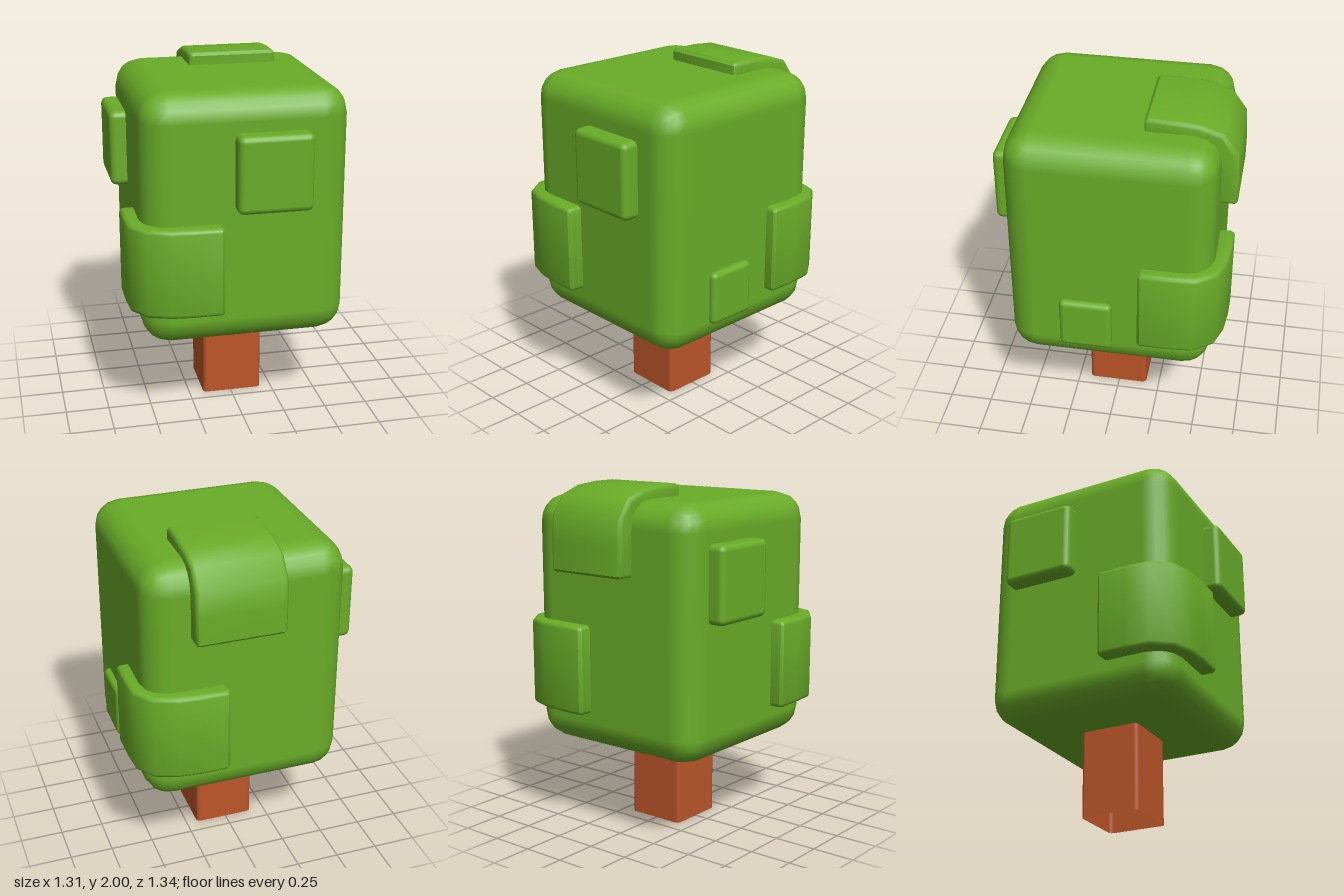
import * as THREE from 'three';
import { RoundedBoxGeometry } from 'three/addons/geometries/RoundedBoxGeometry.js';
import { toCreasedNormals } from 'three/addons/utils/BufferGeometryUtils.js';

const leaf = new THREE.MeshStandardMaterial({ color: 0x6aac28 });
const bark = new THREE.MeshStandardMaterial({ color: 0xbc5529, side: THREE.DoubleSide });

// Rounded box given by its min and max corners
function roundedBlock(name, min, max, radius, segments) {
  const size = max.map((v, i) => v - min[i]);
  const mesh = new THREE.Mesh(new RoundedBoxGeometry(...size, segments, radius), leaf);
  mesh.position.set(...max.map((v, i) => (v + min[i]) / 2));
  mesh.name = name;
  return mesh;
}

// Square open tube with rounded vertical edges
function trunkGeometry(half, r, height) {
  const geo = new THREE.CylinderGeometry(1, 1, height, 12, 1, true);
  const { position, normal, uv } = geo.attributes;
  for (let i = 0; i < position.count; i++) {
    const step = Math.round(uv.getX(i) * 12) % 12;
    const corner = Math.floor(step / 3) * Math.PI / 2;
    const a = corner + (step % 3) * Math.PI / 4;
    const mid = corner + Math.PI / 4;
    position.setX(i, Math.sign(Math.sin(mid)) * (half - r) + r * Math.sin(a));
    position.setZ(i, Math.sign(Math.cos(mid)) * (half - r) + r * Math.cos(a));
    normal.setXYZ(i, Math.sin(a), 0, Math.cos(a));
  }
  return geo;
}

// Bent slab that wraps an edge of the crown; origin at its outer corner
function wrapGeometry() {
  const profile = [
    [0.015, 0.48], [0, 0.465], [0, 0.31], [0.01, 0.165], [0.09, 0.055], [0.215, 0.012],
    [0.345, 0], [0.495, 0], [0.512, 0.017], [0.512, 0.13], [0.25, 0.13], [0.13, 0.25], [0.13, 0.48],
  ];
  const shape = new THREE.Shape(profile.map(([x, y]) => new THREE.Vector2(x, y)));
  const bevel = 0.025;
  const geo = new THREE.ExtrudeGeometry(shape, {
    depth: 0.51 - 2 * bevel, bevelThickness: bevel, bevelSize: bevel, bevelOffset: -bevel, bevelSegments: 3,
  });
  geo.translate(0, 0, bevel);
  return toCreasedNormals(geo, 0.75);
}

export function createModel() {
  const tree = new THREE.Group();
  tree.name = 'blockTree';

  const trunk = new THREE.Mesh(trunkGeometry(0.175, 0.022, 0.54), bark);
  trunk.name = 'trunk';
  trunk.position.set(0.01, 0.27, 0.005);
  tree.add(trunk);

  // Crown and the flat leaf pads on its sides
  tree.add(
    roundedBlock('crown', [-0.567, 0.5, -0.578], [0.588, 1.932, 0.576], 0.155, 2),
    roundedBlock('frontPad', [-0.065, 1.285, 0.5], [0.353, 1.717, 0.67], 0.035, 2),
    roundedBlock('rightPad', [-0.66, 1.285, -0.418], [-0.5, 1.717, 0], 0.035, 2),
    roundedBlock('leftPad', [0.5, 0.64, -0.03], [0.625, 0.95, 0.267], 0.03, 2),
  );

  // Leaf slabs folded over the crown's edges
  const wrap = wrapGeometry();
  const axis = (x, y, z) => new THREE.Vector3(x, y, z);
  const wraps = [
    ['frontRightWrap', [-0.645, 0.711, 0.66], axis(1, 0, 0), axis(0, 0, -1), axis(0, 1, 0)],
    ['backLeftWrap', [0.654, 0.711, -0.66], axis(-1, 0, 0), axis(0, 0, 1), axis(0, 1, 0)],
    ['topBackWrap', [-0.17, 2, -0.672], axis(0, 0, 1), axis(0, -1, 0), axis(1, 0, 0)],
  ];
  for (const [name, position, along, inward, across] of wraps) {
    const mesh = new THREE.Mesh(wrap, leaf);
    mesh.name = name;
    mesh.quaternion.setFromRotationMatrix(new THREE.Matrix4().makeBasis(along, inward, across));
    mesh.position.set(...position);
    tree.add(mesh);
  }
  return tree;
}
